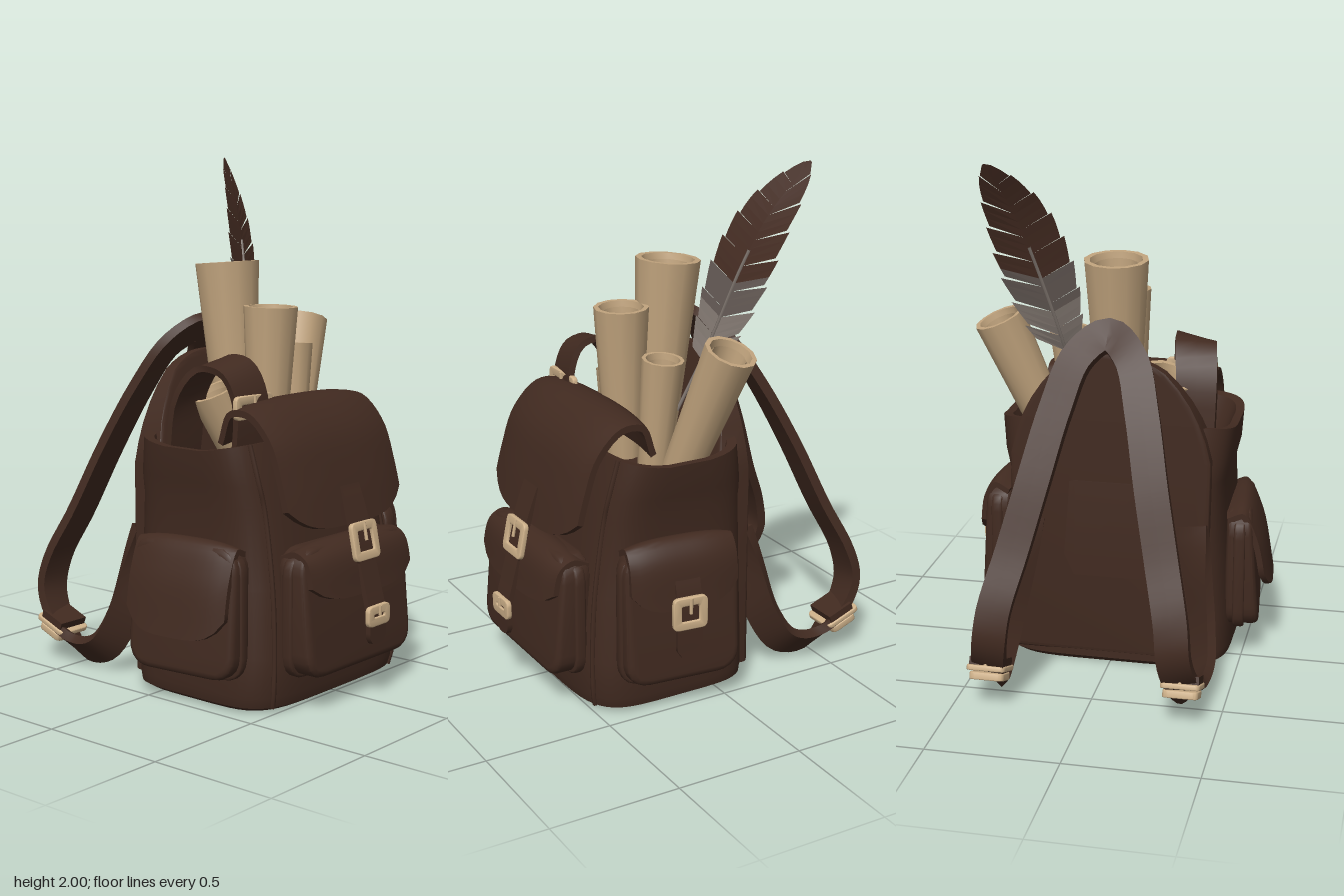
import * as THREE from 'three';
import { toCreasedNormals } from 'three/addons/utils/BufferGeometryUtils.js';

const V = (x, y, z) => new THREE.Vector3(x, y, z);
const paint = (name, color, side = THREE.FrontSide) => {
  const m = new THREE.MeshStandardMaterial({ color, side });
  m.name = name;
  return m;
};

// Skin a list of equal-length rings, counter-clockwise about the direction of travel
function loft(rings) {
  const M = rings[0].length, last = (rings.length - 1) * M, idx = [];
  for (let i = 0; i < rings.length - 1; i++) for (let j = 0; j < M; j++) {
    const a = i * M + j, b = i * M + (j + 1) % M;
    idx.push(a, b, b + M, a, b + M, a + M);
  }
  for (let k = 0; k < M / 2 - 1; k++) {
    const a = k, b = k + 1, c = M - 2 - k, d = M - 1 - k;
    idx.push(a, c, b, a, d, c, last + a, last + b, last + c, last + a, last + c, last + d);
  }
  const g = new THREE.BufferGeometry();
  g.setAttribute('position', new THREE.Float32BufferAttribute(rings.flat().flatMap(p => p.toArray()), 3));
  g.setIndex(idx);
  return toCreasedNormals(g, 0.7);
}

// Leather strip along a path; round shortens the corners of the end, curl wraps the sides inwards
function strip(pts, dirs, width, thick, { round = 0, curl = 0, steps = 20, across = 2 } = {}) {
  const path = new THREE.CatmullRomCurve3(pts);
  const dirPath = dirs.length > 1 ? new THREE.CatmullRomCurve3(dirs) : null;
  const rings = [];
  for (let i = 0; i <= steps; i++) {
    const ring = [];
    for (const side of [1, -1]) for (let k = 0; k <= across; k++) {
      const u = side * (1 - 2 * k / across);
      const s = i / steps * (1 - round * u ** 4);
      const t = path.getTangent(s);
      const d = dirPath ? dirPath.getPoint(s) : dirs[0].clone();
      d.addScaledVector(t, -d.dot(t)).normalize();
      const n = t.clone().cross(d);
      ring.push(path.getPoint(s).addScaledVector(d, u * width / 2)
        .addScaledVector(n, side * thick / 2 - curl * Math.abs(u) ** 3));
    }
    rings.push(ring);
  }
  return loft(rings);
}

const X = [V(1, 0, 0)];
const profile = (list, x = 0) => list.map(([z, y]) => V(x, y, z));

function roundRect(P, w, y0, y1, r) {
  const s = new P(), a = w / 2;
  s.moveTo(-a + r, y0).lineTo(a - r, y0).quadraticCurveTo(a, y0, a, y0 + r);
  s.lineTo(a, y1 - r).quadraticCurveTo(a, y1, a - r, y1).lineTo(-a + r, y1);
  s.quadraticCurveTo(-a, y1, -a, y1 - r).lineTo(-a, y0 + r).quadraticCurveTo(-a, y0, -a + r, y0);
  return s;
}

// Extruded shape with rounded edges; taper thins it towards the given height
function slab(shape, depth, bevel, taper = 0, height = 1) {
  const g = new THREE.ExtrudeGeometry(shape, {
    depth, bevelEnabled: bevel > 0, bevelSize: bevel, bevelThickness: bevel, bevelSegments: 3, curveSegments: 5,
  });
  const p = g.attributes.position;
  for (let i = 0; i < p.count; i++) p.setZ(i, p.getZ(i) * (1 - taper * p.getY(i) / height));
  return toCreasedNormals(g, 0.6);
}

export function createModel() {
  const leather = paint('brown leather', 0x412a20);
  const paper = paint('parchment', 0xc0a37d);
  const brass = paint('pale brass', 0xcdb089);
  const plumes = [paint('pale grey plume', 0x80766f, THREE.DoubleSide),
    paint('grey plume', 0x625853, THREE.DoubleSide), paint('brown plume', 0x452c22, THREE.DoubleSide)];
  const model = new THREE.Group();
  model.name = 'backpack';
  const add = (name, geo, mat, parent = model) => {
    const m = new THREE.Mesh(geo, mat);
    m.name = name;
    parent.add(m);
    return m;
  };

  // Bag body: rounded box with an open, slightly flared mouth
  const levels = [[0, .42, -.16, .48], [.02, .452, -.18, .515], [.06, .462, -.18, .525], [.2, .455, -.18, .525],
    [.45, .44, -.18, .505], [.75, .43, -.175, .455], [.83, .45, -.165, .445], [.98, .462, -.14, .405],
    [.98, .43, -.11, .375], [.82, .38, -.08, .34]];
  const bagPoint = ([y, hw, zb, zf], a) => {
    const c = Math.cos(a), s = -Math.sin(a), e = 0.42;
    const z = (zb + zf) / 2 + (zf - zb) / 2 * Math.sign(s) * Math.abs(s) ** e;
    const x = hw * Math.sign(c) * Math.abs(c) ** e;
    const sag = y > .9 ? .035 * Math.cos((z - .13) * 6) : 0;
    return V(x, y - sag, z);
  };
  const rings = levels.map(l => Array.from({ length: 48 }, (_, j) => bagPoint(l, (j + .5) / 48 * Math.PI * 2)));
  add('bagBody', loft(rings), leather);

  // Piping on the front corners
  for (const a of [-.95, -Math.PI + .95]) {
    const pts = levels.slice(1, 8).map(l => bagPoint(l, a));
    add('cornerPiping', new THREE.TubeGeometry(new THREE.CatmullRomCurve3(pts), 20, .01, 6), leather);
  }

  // Tall arched back panel, thinning towards its top
  const arch = new THREE.Shape();
  arch.moveTo(-.36, .06).lineTo(.36, .06).lineTo(.37, .85).quadraticCurveTo(.33, 1.05, .2, 1.18);
  arch.quadraticCurveTo(.12, 1.24, 0, 1.24).quadraticCurveTo(-.12, 1.24, -.2, 1.18);
  arch.quadraticCurveTo(-.33, 1.05, -.37, .85).lineTo(-.36, .06);
  add('backPanel', slab(arch, .34, .02, .9, 1.24), leather).position.z = -.165;

  // Main flap over the front
  const flapLine = [[.2, .97], [.25, 1.09], [.36, 1.10], [.47, 1.0], [.53, .84], [.575, .66]];
  add('mainFlap', strip(profile(flapLine), X, .69, .025, { round: .1, curl: .025, across: 16 }), leather);

  function buckle(w, h, parent) {
    const g = new THREE.Group();
    g.name = 'buckle';
    const frame = roundRect(THREE.Shape, w, -h / 2, h / 2, .02);
    frame.holes.push(roundRect(THREE.Path, w - .05, -h / 2 + .025, h / 2 - .025, .01));
    add('buckleFrame', slab(frame, .012, .004), brass, g);
    const pin = add('bucklePin', new THREE.CylinderGeometry(.007, .007, h / 2, 6), brass, g);
    pin.position.set(0, h / 4, .016);
    parent.add(g);
    return g;
  }

  // Pouch with its own flap; local z points away from the bag
  function pocket(name, w, h, d, taper, flap) {
    const g = new THREE.Group();
    g.name = name;
    add('pouch', slab(roundRect(THREE.Shape, w - .05, .025, h, .07), d - .025, .025, taper, h), leather, g);
    add('pouchSeam', slab(roundRect(THREE.Shape, w, .0, h, .08), .025, .01), leather, g).position.z = .02;
    add('pouchFlap', strip(profile(flap), X, w - .03, .022, { round: .12, curl: .02, across: 12 }), leather, g);
    model.add(g);
    return g;
  }

  const front = pocket('frontPocket', .64, .45, .14, .3, [[-.02, .45], [.05, .475], [.115, .44], [.155, .28]]);
  front.position.set(0, .13, .49);
  const left = pocket('leftPocket', .46, .5, .11, .28, [[-.02, .52], [.045, .545], [.095, .49], [.122, .3]]);
  left.position.set(.435, .13, .19);
  left.rotation.y = Math.PI / 2 - .1;
  const right = pocket('rightPocket', .47, .46, .115, .3, [[-.02, .47], [.05, .49], [.11, .38], [.155, .15]]);
  right.position.set(-.435, .13, .18);
  right.rotation.y = -Math.PI / 2 + .1;

  // Closing straps and their buckles
  const closing = (name, line, w, parent) =>
    add(name, strip(profile(line), X, w, .02, { round: .08, across: 6 }), leather, parent);
  closing('flapStrap', [[.55, .80], [.58, .72], [.612, .62], [.64, .50]], .11, model);
  const big = buckle(.145, .135, model);
  big.position.set(0, .6, .622);
  big.rotation.x = -.2;
  closing('frontPocketStrap', [[.63, .54], [.66, .43], [.682, .34], [.685, .22]], .1, model);
  buckle(.125, .07, model).position.set(0, .33, .686);
  closing('leftPocketStrap', [[.105, .44], [.125, .36], [.137, .24], [.14, .11]], .1, left);
  buckle(.13, .12, left).position.set(0, .29, .138);

  // Loose inner strap rising from the mouth
  const inner = [V(-.3, .9, 0), V(-.3, 1.13, .04), V(-.28, 1.24, .13), V(-.265, 1.23, .23),
    V(-.25, 1.12, .285), V(-.25, .9, .28)];
  add('innerStrap', strip(inner, [V(1, .2, .1)], .16, .025), leather);
  buckle(.2, .08, model).position.set(-.24, 1.095, .285);

  // Shoulder straps: one band over the top, mirrored down each side
  const half = [
    [V(.1, 1.27, -.25), V(.75, .5, .4)], [V(.16, 1.1, -.35), V(.95, .25, .2)],
    [V(.22, .85, -.47), V(1, .2, .1)], [V(.28, .6, -.57), V(1, .15, .05)],
    [V(.33, .4, -.66), V(1, .1, 0)], [V(.345, .27, -.68), V(1, .1, 0)],
    [V(.365, .15, -.61), V(.95, .2, .1)], [V(.385, .07, -.48), V(.65, .65, 0)],
    [V(.395, .1, -.34), V(.6, .6, -.4)], [V(.38, .23, -.25), V(.6, .3, -.6)],
    [V(.35, .42, -.2), V(.7, .1, -.5)], [V(.32, .6, -.17), V(1, 0, -.1)]];
  const flip = v => V(-v.x, v.y, v.z);
  const both = k => [...half.map(h => flip(h[k])).reverse(),
    k ? V(0, .79, .61) : V(0, 1.34, -.18), ...half.map(h => h[k])];
  add('shoulderStraps', strip(both(0), both(1), .125, .038, { steps: 110 }), leather);

  // Strap adjusters: leather keeper above, brass clasp below
  for (const s of [-1, 1]) {
    const b = buckle(.14, .15, model);
    b.name = 'strapAdjuster';
    b.position.set(s * .365, .14, -.605);
    b.rotation.x = -1.2;
    add('clasp', slab(roundRect(THREE.Shape, .125, -.055, .055, .02), .02, .004), brass, b).position.z = -.035;
    add('keeper', new THREE.BoxGeometry(.135, .11, .03), leather, b).position.z = .03;
  }

  // Rolled scrolls, hollow at the top
  function scroll(top, bottom, rt, rb) {
    const dir = top.clone().sub(bottom), L = dir.length();
    const line = [[rb, 0], [rt, L], [rt * .82, L], [rt * .74, L - .04], [rt * .66, L - .02],
      [rt * .55, L - .12], [0, L - .12]].map(p => new THREE.Vector2(...p));
    const m = add('scroll', toCreasedNormals(new THREE.LatheGeometry(line, 12), .6), paper);
    m.position.copy(bottom);
    m.quaternion.setFromUnitVectors(V(0, 1, 0), dir.normalize());
  }
  scroll(V(0, 1.6, -.04), V(0, .85, .02), .125, .075);
  scroll(V(.01, 1.44, .17), V(0, .85, .16), .105, .07);
  scroll(V(.22, 1.28, .11), V(.18, .85, .13), .08, .06);
  scroll(V(.465, 1.35, -.03), V(.27, .85, .06), .1, .075);
  scroll(V(-.19, 1.13, .06), V(-.08, .85, .12), .1, .075);

  // Feather: swept barbs either side of a curved shaft
  const shaft = new THREE.CatmullRomCurve3([V(.17, 1.05, .02), V(.2, 1.3, -.1), V(.275, 1.6, -.19),
    V(.33, 1.8, -.27), V(.405, 2.0, -.40)]);
  const N = 24, across = V(.92, -.4, -.25), plumePos = [[], [], []];
  const at = f => shaft.getPointAt(.2 + .8 * f);
  const edge = (f, s, k) => {
    const e = Math.min(1, f + (s > 0 ? .12 : .02));
    const w = .128 * Math.max(0, Math.sin(Math.PI * (.1 + .9 * e))) ** .65;
    return at(e).addScaledVector(across, s * w * k);
  };
  for (let i = 0; i < N; i++) for (const s of [-1, 1]) {
    const f0 = i / N, f1 = (i + 1) / N, k = .93 + .04 * ((i + (s > 0 ? 1 : 0)) % 3);
    const a = at(f0), b = at(f1), c = edge(f1, s, k + .04), d = edge(f0, s, k);
    const tris = s > 0 ? [a, d, c, a, c, b] : [a, c, d, a, b, c];
    plumePos[f0 < .2 ? 0 : f0 < .36 ? 1 : 2].push(...tris.flatMap(p => p.toArray()));
  }
  plumePos.forEach((pos, i) => {
    const g = new THREE.BufferGeometry();
    g.setAttribute('position', new THREE.Float32BufferAttribute(pos, 3));
    g.computeVertexNormals();
    add('featherVane', g, plumes[i]);
  });
  const quill = new THREE.CatmullRomCurve3(Array.from({ length: 8 }, (_, i) => shaft.getPointAt(i * .09)));
  add('featherQuill', new THREE.TubeGeometry(quill, 14, .007, 5), plumes[0]);

  return model;
}
